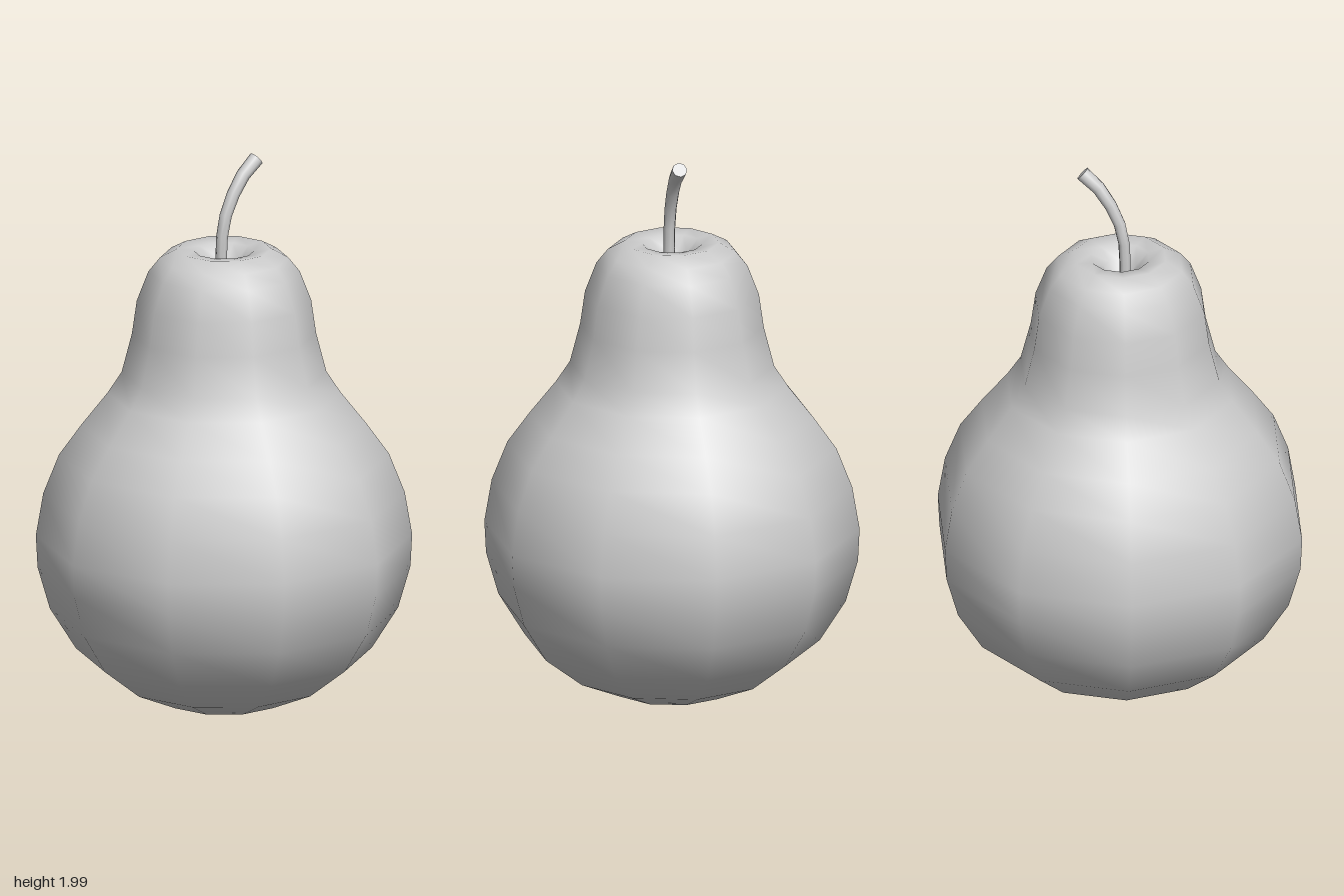
import * as THREE from 'three';

const SIDES = 10;
const STEM_SIDES = 8;
const STEM_STEPS = 6;

// Ten-sided smooth body, profile runs from the base up and into the top dimple
function makeBody(material) {
  const profile = [
    [0, 0.005], [0.21, 0.03], [0.37, 0.1], [0.518, 0.215], [0.609, 0.36],
    [0.652, 0.51], [0.658, 0.627], [0.632, 0.78], [0.577, 0.92], [0.498, 1.03],
    [0.407, 1.145], [0.358, 1.22], [0.322, 1.36], [0.305, 1.48], [0.265, 1.585],
    [0.225, 1.635], [0.165, 1.668], [0.105, 1.66], [0.06, 1.62], [0.03, 1.575], [0, 1.565],
  ].map(([r, y]) => new THREE.Vector2(r, y));
  const body = new THREE.Mesh(new THREE.LatheGeometry(profile, SIDES, Math.PI / 2), material);
  body.name = 'body';
  return body;
}

// Curved stem that widens towards its cut end
function makeStem(material) {
  const stem = new THREE.Group();
  stem.name = 'stem';
  const path = new THREE.CatmullRomCurve3([
    [-0.016, 1.56], [-0.016, 1.67], [-0.006, 1.76], [0.03, 1.85], [0.08, 1.925], [0.137, 1.974],
  ].map(([x, y]) => new THREE.Vector3(x, y, 0.006)));

  const radiusAt = (t) => 0.02 + 0.007 * t * t;
  const geometry = new THREE.TubeGeometry(path, STEM_STEPS, 1, STEM_SIDES);
  const pos = geometry.attributes.position;
  const v = new THREE.Vector3();
  for (let i = 0; i < pos.count; i++) {
    const t = Math.floor(i / (STEM_SIDES + 1)) / STEM_STEPS;
    const centre = path.getPointAt(t);
    v.fromBufferAttribute(pos, i).sub(centre).multiplyScalar(radiusAt(t)).add(centre);
    pos.setXYZ(i, v.x, v.y, v.z);
  }
  const stalk = new THREE.Mesh(geometry, material);
  stalk.name = 'stalk';

  // Flat cut at the tip
  const tip = new THREE.Mesh(new THREE.CircleGeometry(radiusAt(1), STEM_SIDES), material);
  tip.name = 'stemTip';
  tip.position.copy(path.getPointAt(1));
  tip.lookAt(tip.position.clone().add(path.getTangentAt(1)));

  stem.add(stalk, tip);
  return stem;
}

export function createModel() {
  const model = new THREE.Group();
  model.name = 'pear';
  const material = new THREE.MeshStandardMaterial({ color: 0xcccccc });
  model.add(makeBody(material), makeStem(material));
  return model;
}
